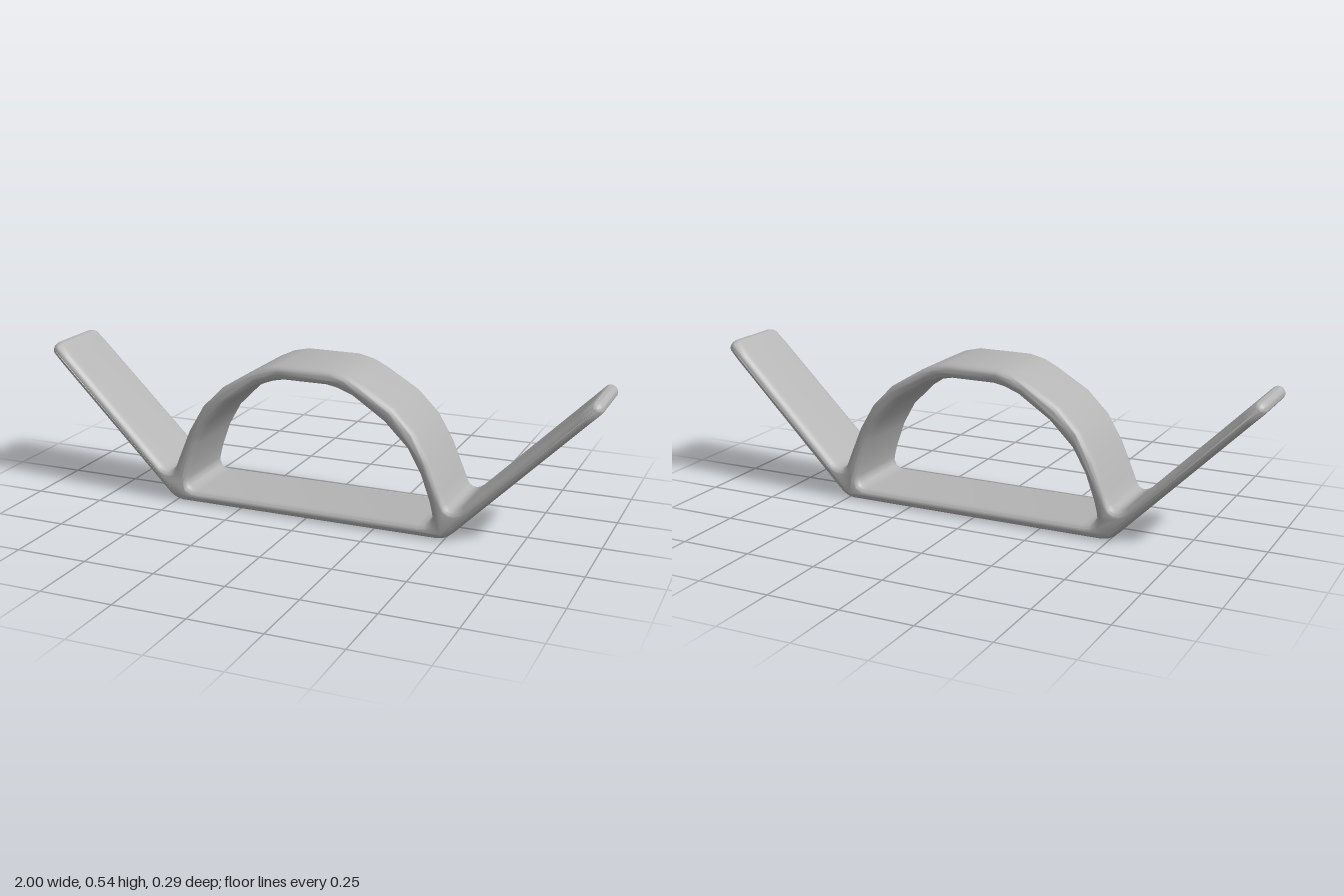
import * as THREE from 'three';
import { toCreasedNormals } from 'three/addons/utils/BufferGeometryUtils.js';

const HALF_DEPTH = 0.147;
const BEVEL = 0.02;
const BEVEL_DEPTH = 0.035;

// Completes a right-half outline with its mirror image
const mirrored = (half) => [
  ...half,
  ...half.map(([x, y]) => [-x, y]).reverse(),
].map(([x, y]) => new THREE.Vector2(x, y));

// Rounded end of the slanted wing
function wingTip() {
  const points = [];
  for (let i = 0; i <= 10; i++) {
    const a = -Math.PI / 4 + (Math.PI * i) / 10;
    points.push([0.976 + 0.023 * Math.cos(a), 0.504 + 0.023 * Math.sin(a)]);
  }
  return points;
}

export function createModel() {
  const group = new THREE.Group();
  const grey = new THREE.MeshStandardMaterial({ color: 0xb4b4b4 });
  grey.name = 'plain grey';

  // Outer outline: base, wing, crook, arch
  const shape = new THREE.Shape(mirrored([
    [0.475, 0], [0.495, 0.003], [0.515, 0.013], [0.535, 0.031], [0.955, 0.451],
    ...wingTip(),
    [0.923, 0.483], [0.562, 0.122], [0.548, 0.113], [0.535, 0.108], [0.522, 0.108], [0.511, 0.114], [0.502, 0.127],
    [0.487, 0.165], [0.444, 0.267], [0.39, 0.358], [0.315, 0.433], [0.2, 0.502], [0.15, 0.526], [0.095, 0.539],
  ]));

  // Opening under the arch
  shape.holes.push(new THREE.Path(mirrored([
    [0.41, 0.046], [0.432, 0.048], [0.449, 0.056], [0.456, 0.073], [0.454, 0.09],
    [0.444, 0.13], [0.412, 0.22], [0.365, 0.303], [0.283, 0.385], [0.17, 0.46], [0.12, 0.479], [0.08, 0.487],
  ])));

  const body = new THREE.ExtrudeGeometry(shape, {
    depth: 2 * (HALF_DEPTH - BEVEL_DEPTH),
    bevelEnabled: true,
    bevelSize: BEVEL,
    bevelOffset: -BEVEL,
    bevelThickness: BEVEL_DEPTH,
    bevelSegments: 5,
    steps: 1,
  });
  body.translate(0, 0, BEVEL_DEPTH - HALF_DEPTH);

  // Narrow the wings slightly and round the corners of their ends
  const pos = body.attributes.position;
  for (let i = 0; i < pos.count; i++) {
    const x = Math.abs(pos.getX(i));
    const taper = 1 - 0.04 * THREE.MathUtils.smoothstep(x, 0.5, 1);
    const u = THREE.MathUtils.clamp((x + pos.getY(i) - 1.44) / 0.075, 0, 1);
    const corner = 1 - 0.2 * (1 - Math.sqrt(1 - u * u));
    pos.setZ(i, pos.getZ(i) * taper * corner);
  }

  const mesh = new THREE.Mesh(toCreasedNormals(body, 0.75), grey);
  mesh.name = 'archedBracket';
  group.add(mesh);
  return group;
}
